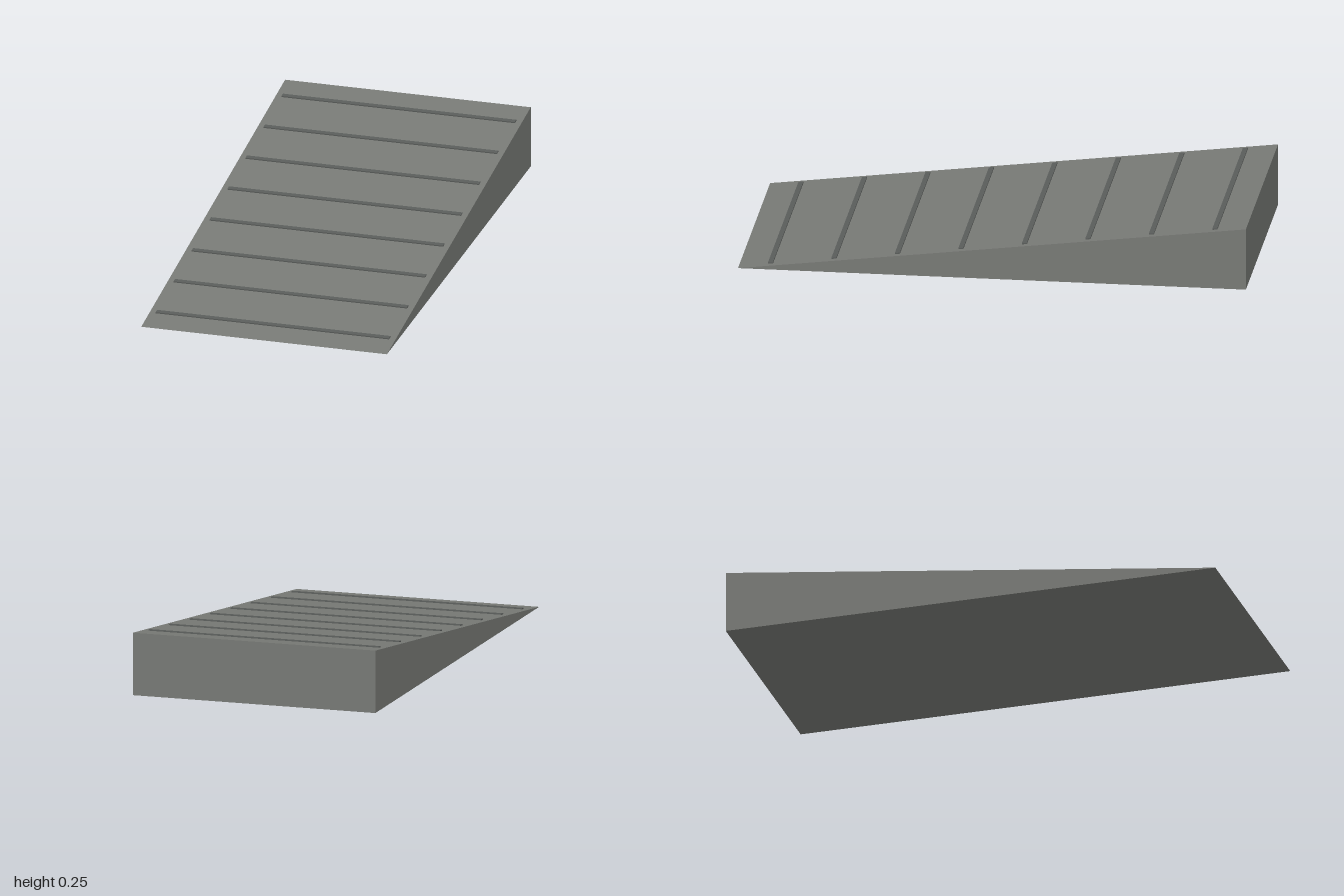
import * as THREE from 'three';

export function createModel() {
  const group = new THREE.Group();
  const rampGrey = new THREE.MeshStandardMaterial({ color: 0x777975 });
  rampGrey.name = 'rampGrey';
  const stripGrey = new THREE.MeshStandardMaterial({ color: 0x595c5a });
  stripGrey.name = 'stripGrey';

  const width = 1, length = 2, height = 0.25;

  // Wedge body: side profile extruded across the width, low edge at +z
  const profile = new THREE.Shape();
  profile.moveTo(-length / 2, 0);
  profile.lineTo(length / 2, 0);
  profile.lineTo(length / 2, height);
  profile.closePath();
  const wedge = new THREE.ExtrudeGeometry(profile, { depth: width, bevelEnabled: false });
  wedge.translate(0, 0, -width / 2);
  wedge.rotateY(Math.PI / 2);
  const ramp = new THREE.Mesh(wedge, rampGrey);
  ramp.name = 'rampBody';
  group.add(ramp);

  // Raised grip strips lying along the slope
  const strips = new THREE.Group();
  strips.name = 'gripStrips';
  const stripGeometry = new THREE.BoxGeometry(0.95, 0.009, 0.02);
  const count = 8;
  for (let i = 0; i < count; i++) {
    const z = length / 2 - (i + 0.5) * (length / count);
    const strip = new THREE.Mesh(stripGeometry, stripGrey);
    strip.name = `gripStrip${i + 1}`;
    strip.position.set(0, (length / 2 - z) * (height / length), z);
    strip.rotation.x = Math.atan2(height, length);
    strips.add(strip);
  }
  group.add(strips);
  return group;
}
